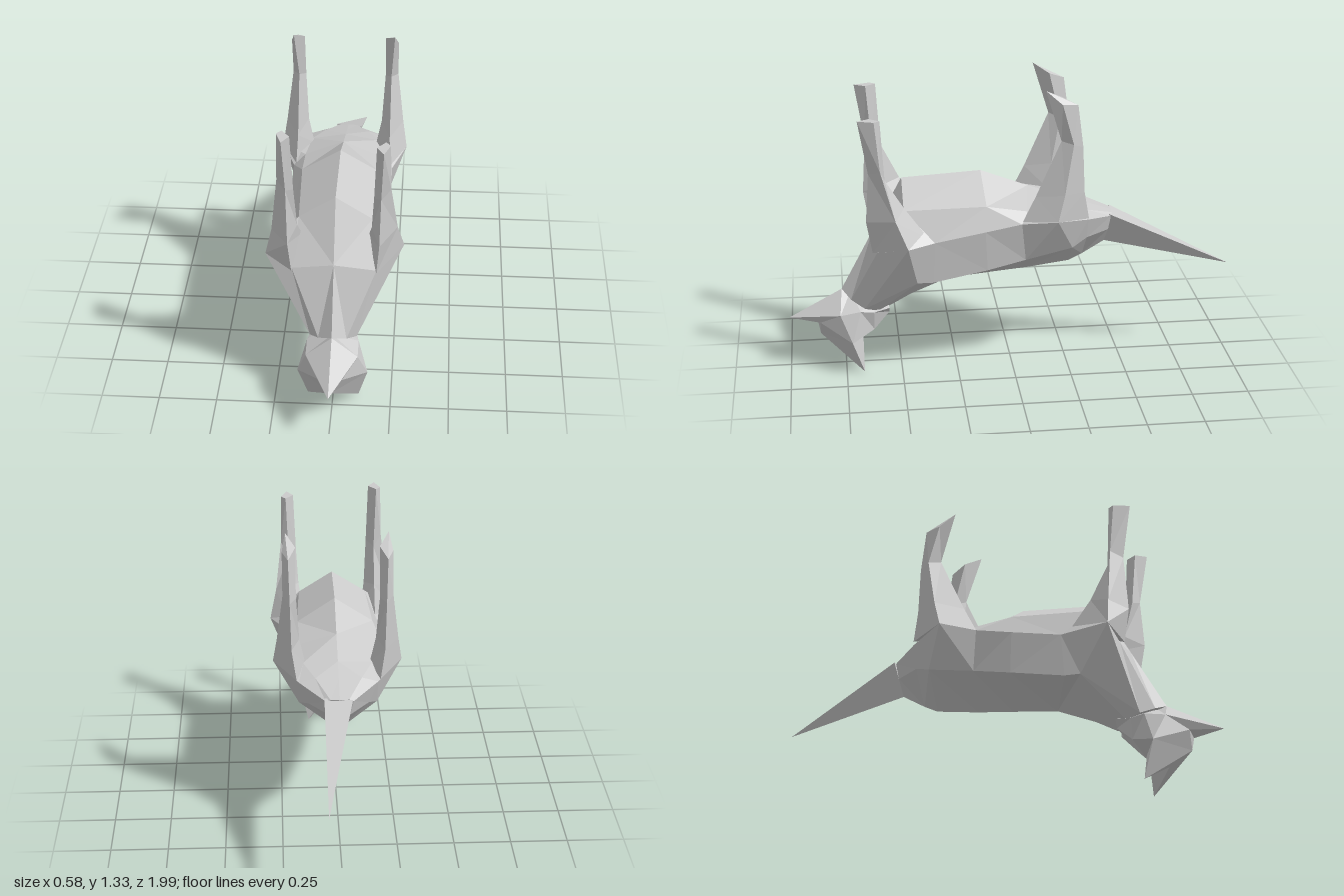
import * as THREE from 'three';

const material = new THREE.MeshStandardMaterial({ color: 0xcccccc, flatShading: true });
const V = (p) => new THREE.Vector3(...p);

// Skin a list of equal-length rings, cap both ends and turn all faces outward.
function loft(name, ringData) {
  const rings = ringData.map((r) => r.map(V));
  const tris = [];
  const add = (a, b, c) => {
    if (b.clone().sub(a).cross(c.clone().sub(a)).length() > 1e-7) tris.push([a, b, c]);
  };
  const n = rings[0].length;
  for (let i = 0; i < rings.length - 1; i++) {
    for (let j = 0; j < n; j++) {
      const k = (j + 1) % n;
      const a = rings[i][j], b = rings[i][k], c = rings[i + 1][k], d = rings[i + 1][j];
      // the shorter diagonal keeps the facets mirror-symmetric
      if (a.distanceTo(c) < b.distanceTo(d) - 1e-6) { add(a, b, c); add(a, c, d); }
      else { add(a, b, d); add(b, c, d); }
    }
  }
  const first = rings[0], last = rings[rings.length - 1];
  for (let j = 1; j < n - 1; j++) {
    add(first[0], first[j + 1], first[j]);
    add(last[0], last[j], last[j + 1]);
  }
  const volume = tris.reduce((s, [a, b, c]) => s + a.dot(b.clone().cross(c)), 0);
  if (volume < 0) tris.forEach((t) => t.reverse());
  const geometry = new THREE.BufferGeometry().setFromPoints(tris.flat());
  geometry.computeVertexNormals();
  const mesh = new THREE.Mesh(geometry, material);
  mesh.name = name;
  return mesh;
}

const flip = ([x, y, z]) => [-x, y, z];
// Half section (belly centre to spine centre) -> closed mirrored ring
const mirrorRing = (half) => [...half, ...half.slice(1, -1).reverse().map(flip)];

export function createModel() {
  const model = new THREE.Group();
  model.name = 'upturnedFox';

  // Torso: belly, upper flank, widest flank, lower flank, spine
  const torso = [
    [[0, 0.37, 0.76], [0.06, 0.34, 0.72], [0.1, 0.31, 0.66], [0.08, 0.29, 0.6], [0, 0.28, 0.54]],
    [[0, 0.64, 0.615], [0.178, 0.61, 0.6], [0.29, 0.66, 0.47], [0.21, 0.47, 0.43], [0, 0.33, 0.45]],
    [[0, 0.89, 0.48], [0.155, 0.79, 0.48], [0.22, 0.66, 0.35], [0.21, 0.47, 0.36], [0, 0.4, 0.28]],
    [[0, 0.91, 0.13], [0.17, 0.8, 0.12], [0.22, 0.7, 0.13], [0.205, 0.515, 0.12], [0, 0.42, 0.08]],
    [[0, 0.83, -0.08], [0.17, 0.77, -0.06], [0.22, 0.73, -0.03], [0.19, 0.55, -0.05], [0, 0.435, -0.08]],
    [[0, 0.775, -0.24], [0.15, 0.76, -0.22], [0.28, 0.755, -0.18], [0.17, 0.59, -0.26], [0, 0.46, -0.27]],
    [[0, 0.74, -0.34], [0.1, 0.74, -0.33], [0.17, 0.72, -0.33], [0.13, 0.62, -0.33], [0, 0.49, -0.33]],
    [[0, 0.7, -0.46], [0.04, 0.7, -0.455], [0.06, 0.69, -0.45], [0.045, 0.62, -0.44], [0, 0.55, -0.43]],
  ].map(mirrorRing);
  torso[1][6][2] = 0.57; // right shoulder reaches further forward
  model.add(loft('torso', torso));

  // Head: jaw, cheek, brow, crown
  const nose = [0, 0.24, 1];
  model.add(loft('head', [
    [nose, nose, nose, nose],
    [[0, 0.37, 0.76], [0.11, 0.285, 0.77], [0.05, 0.23, 0.86], [0, 0.21, 0.87]],
    [[0, 0.36, 0.72], [0.11, 0.3, 0.68], [0.15, 0.165, 0.72], [0, 0.155, 0.86]],
    [[0, 0.34, 0.6], [0.1, 0.29, 0.62], [0.08, 0.2, 0.62], [0, 0.13, 0.67]],
    [[0, 0.33, 0.56], [0.08, 0.3, 0.55], [0.05, 0.27, 0.55], [0, 0.25, 0.57]],
  ].map(mirrorRing)));

  // Tail
  const tailTip = [0.065, 0.44, -0.99];
  model.add(loft('tail', [
    [[-0.055, 0.7, -0.46], [0.065, 0.7, -0.44], [0, 0.55, -0.43]],
    [tailTip, tailTip, tailTip],
  ]));

  // Ears
  const earTip = [0.11, 0.005, 0.67];
  const ear = [
    [[0, 0.155, 0.86], [0.15, 0.165, 0.72], [0.03, 0.14, 0.67], [0, 0.09, 0.76]],
    [earTip, earTip, earTip, earTip],
  ];

  // Legs from body to paw: front, outer, back, inner
  const leftFrontLeg = [
    [[0.178, 0.61, 0.62], [0.29, 0.66, 0.47], [0.2, 0.68, 0.38], [0.14, 0.72, 0.5]],
    [[0.19, 0.76, 0.645], [0.262, 0.78, 0.52], [0.2, 0.82, 0.48], [0.155, 0.8, 0.56]],
    [[0.195, 0.98, 0.63], [0.235, 1.0, 0.58], [0.2, 0.95, 0.56], [0.165, 0.97, 0.6]],
    [[0.205, 1.22, 0.67], [0.23, 1.22, 0.6], [0.21, 1.22, 0.575], [0.175, 1.22, 0.62]],
  ];
  // The right front leg stands slightly taller and further forward at the shoulder
  const rightFrontLeg = leftFrontLeg.map((ring, i) => ring.map(([x, y, z], j) =>
    [-x, y + [0, 0, 0.03, 0.04][i], z + (j === 1 ? [0.1, 0.05, 0, 0][i] : 0)]));
  const hindLeg = [
    [[0.21, 0.73, -0.03], [0.28, 0.755, -0.18], [0.18, 0.73, -0.33], [0.14, 0.75, -0.2]],
    [[0.205, 0.85, -0.09], [0.262, 0.87, -0.21], [0.2, 0.86, -0.305], [0.165, 0.87, -0.21]],
    [[0.205, 1.1, -0.2], [0.235, 1.09, -0.25], [0.205, 1.07, -0.295], [0.178, 1.08, -0.25]],
    [[0.22, 1.33, -0.13], [0.235, 1.27, -0.2], [0.21, 1.26, -0.27], [0.178, 1.29, -0.2]],
  ];

  model.add(loft('leftFrontLeg', leftFrontLeg), loft('rightFrontLeg', rightFrontLeg));
  for (const [side, place] of [['left', (p) => p], ['right', flip]]) {
    model.add(loft(side + 'Ear', ear.map((r) => r.map(place))));
    model.add(loft(side + 'HindLeg', hindLeg.map((r) => r.map(place))));
  }
  return model;
}
